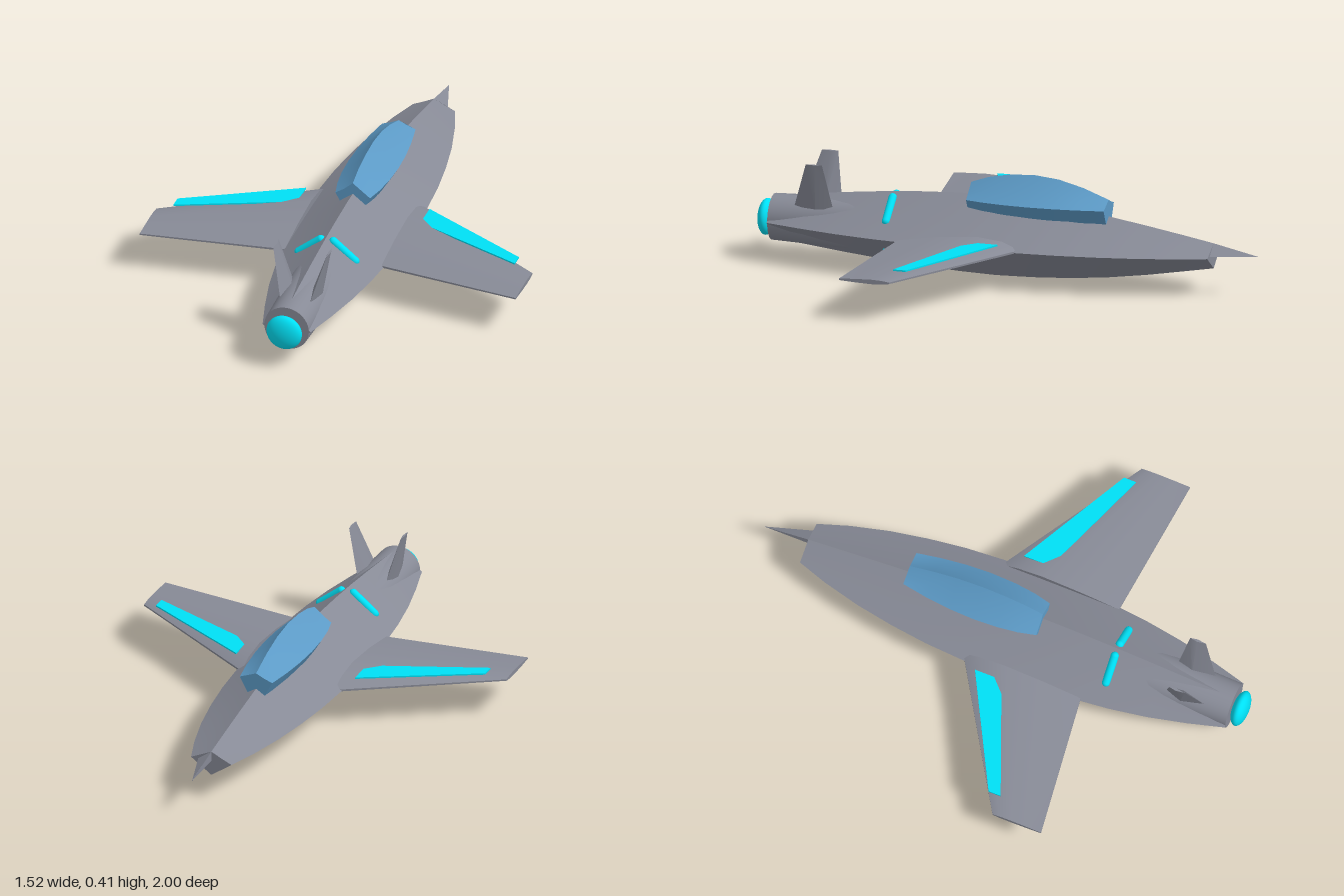
import * as THREE from 'three';
import { toCreasedNormals } from 'three/addons/utils/BufferGeometryUtils.js';

const paint = (color) => new THREE.MeshStandardMaterial({ color, side: THREE.DoubleSide });

// Skin a list of equal-length rings of [x, y, z] points and cap both ends
function loft(rings, crease = 0.5) {
  const n = rings[0].length, index = [];
  for (let i = 0; i < rings.length - 1; i++) {
    for (let j = 0; j < n; j++) {
      const a = i * n + j, b = i * n + (j + 1) % n;
      index.push(a, b, a + n, b, b + n, a + n);
    }
  }
  const last = (rings.length - 1) * n;
  for (let j = 1; j < n - 1; j++) {
    index.push(0, j + 1, j, last, last + j, last + j + 1);
  }
  const geo = new THREE.BufferGeometry();
  geo.setAttribute('position', new THREE.Float32BufferAttribute(rings.flat(2), 3));
  geo.setIndex(index);
  return toCreasedNormals(geo, crease);
}

// Diamond section in the xy plane, upper sides slightly hollow
function diamond(z, w, top, bottom, mid, hollow) {
  const m = (mid + top) / 2 - hollow * (top - mid);
  return [[w, mid, z], [w / 2, m, z], [0, top, z], [-w / 2, m, z], [-w, mid, z], [0, bottom, z]];
}

export function createModel() {
  const model = new THREE.Group();
  const grey = paint(0x878a96), cyan = paint(0x00e0f5), glass = paint(0x5c9ac6);

  const add = (name, geo, mat, parent = model) => {
    const mesh = new THREE.Mesh(geo, mat);
    mesh.name = name;
    parent.add(mesh);
    return mesh;
  };

  // Fuselage rows: z, half width, ridge height, keel height
  const hull = [
    [-0.82, 0.085, 0.2, 0.1], [-0.7, 0.125, 0.222, 0.078], [-0.55, 0.163, 0.248, 0.051],
    [-0.4, 0.19, 0.272, 0.029], [-0.25, 0.209, 0.293, 0.013], [-0.1, 0.219, 0.308, 0.004],
    [0.05, 0.221, 0.317, 0], [0.2, 0.217, 0.317, 0.004], [0.35, 0.208, 0.309, 0.013],
    [0.5, 0.193, 0.297, 0.026], [0.65, 0.169, 0.281, 0.041], [0.8, 0.135, 0.263, 0.058],
    [0.94, 0.097, 0.244, 0.075],
  ];
  add('fuselage', loft(hull.map(([z, w, t, b]) => diamond(z, w, t, b, 0.16, 0.03))), grey);

  // One-sided pointed nose spike
  add('noseSpike', loft([
    [[0, 0.16, -1], [0, 0.1605, -1], [-0.0005, 0.16, -1]],
    [[0.055, 0.16, -0.82], [0, 0.2, -0.82], [0, 0.16, -0.82]],
  ]), grey);

  // Canopy
  const canopy = [
    [-0.4, 0.068, 0.338, 0.18], [-0.3, 0.085, 0.376, 0.16], [-0.2, 0.096, 0.402, 0.15],
    [-0.1, 0.1, 0.412, 0.14], [0, 0.096, 0.405, 0.15], [0.08, 0.086, 0.389, 0.16],
    [0.15, 0.07, 0.364, 0.18],
  ];
  add('canopy', loft(canopy.map(([z, w, t, b]) => diamond(z, w, t, b, 0.31, 0.07))), glass);

  // Engine barrel and glowing exhaust
  const barrel = add('engineBarrel', new THREE.CylinderGeometry(0.09, 0.104, 0.44, 40), grey);
  barrel.rotation.x = Math.PI / 2;
  barrel.position.set(0, 0.16, 0.72);
  const exhaust = add('exhaustGlow', new THREE.SphereGeometry(1, 40, 24), cyan);
  exhaust.scale.set(0.071, 0.071, 0.032);
  exhaust.position.set(0, 0.157, 0.968);

  // Wing section: chord from z0 to z1, thickest a third of the way back
  const wingRing = (x, z0, z1, top, bottom, edge) => {
    const c = z1 - z0, mid = 0.161;
    const up = (f, k) => [x, mid + edge + (top - mid - edge) * k, z0 + c * f];
    const down = (f, k) => [x, mid - edge + (bottom - mid + edge) * k, z0 + c * f];
    return [up(0, 0), up(0.14, 0.72), up(0.35, 1), up(0.68, 0.65), up(1, 0),
      down(1, 0), down(0.68, 0.65), down(0.35, 1), down(0.14, 0.72), down(0, 0)];
  };
  const wingGeo = loft([
    wingRing(0.195, -0.1, 0.385, 0.205, 0.139, 0.004),
    wingRing(0.76, 0.25, 0.45, 0.17, 0.152, 0.003),
  ]);

  // Thin panel lying above the leading edge
  const panelRing = (y) => [[0.25, y, 0.08], [0.69, y, 0.255], [0.69, y, 0.205], [0.25, y, -0.03]];
  const panelGeo = loft([panelRing(0.191), panelRing(0.197)]);

  // Tail fin with a diamond section
  const finRing = (y, x, w, z0, zm, z1) => [[x, y, z1], [x + w, y, zm], [x, y, z0], [x - w, y, zm]];
  const finGeo = loft([
    finRing(0.225, 0.06, 0.022, 0.685, 0.75, 0.84),
    finRing(0.41, 0.108, 0.005, 0.715, 0.745, 0.78),
  ]);

  // Capsule light strips laid on the sloping hull faces
  const strip = (name, side, x, y, dx, dy) => {
    const len = 2 * Math.hypot(dx, dy);
    const mesh = add(name, new THREE.CapsuleGeometry(0.016, len - 0.032, 8, 16), cyan, side);
    mesh.position.set(x, y, 0.457);
    mesh.rotation.z = Math.atan2(-dx, dy);
  };

  // Everything that comes in left and right pairs
  for (const s of [1, -1]) {
    const side = new THREE.Group();
    side.name = s > 0 ? 'leftSide' : 'rightSide';
    side.scale.x = s;
    add('wing', wingGeo, grey, side);
    add('wingPanel', panelGeo, cyan, side);
    add('tailFin', finGeo, grey, side);
    strip('upperLightStrip', side, 0.07, 0.247, 0.057, -0.046);
    strip('lowerLightStrip', side, 0.07, 0.065, 0.05, 0.035);
    model.add(side);
  }
  return model;
}
